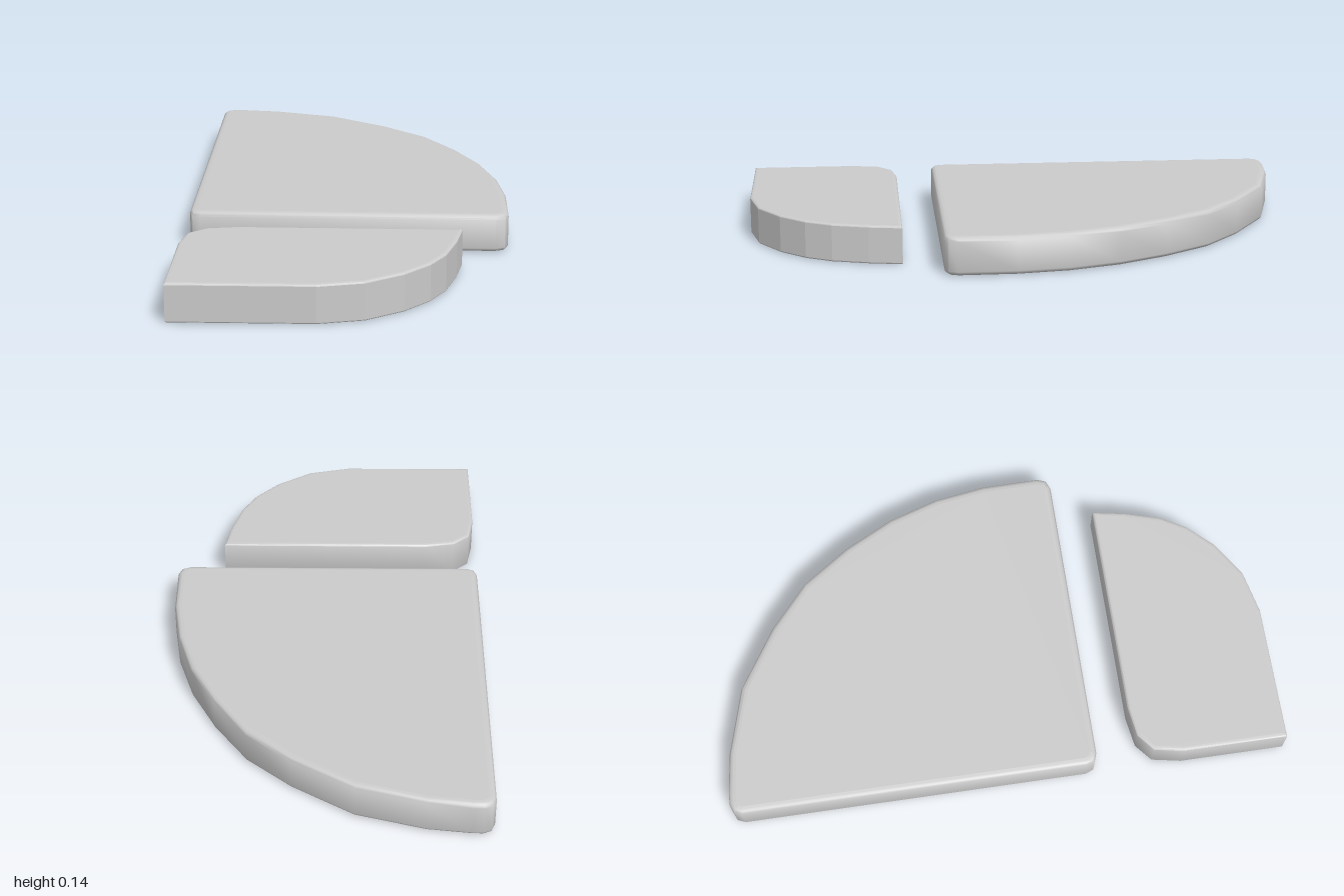
import * as THREE from 'three';
import { toCreasedNormals } from 'three/addons/utils/BufferGeometryUtils.js';

const HEIGHT = 0.138;

// Bevelled slab from an outline of [x, z] points. Caps stay flat, and so do
// walls for which isFaceted(normal) is true; the rest is smooth.
function slab(name, outline, inset, drop, isFaceted) {
  const shape = new THREE.Shape(outline.map(([x, z]) => new THREE.Vector2(x, -z)));
  const extruded = new THREE.ExtrudeGeometry(shape, {
    depth: HEIGHT - 2 * drop,
    bevelThickness: drop,
    bevelSize: inset,
    bevelOffset: -inset,
    bevelSegments: 4,
  });
  extruded.rotateX(-Math.PI / 2).translate(0, drop, 0);
  const geometry = toCreasedNormals(extruded, 0.85);
  const pos = geometry.attributes.position;
  const normals = geometry.attributes.normal;
  const tri = new THREE.Triangle();
  const n = new THREE.Vector3();
  for (let i = 0; i < pos.count; i += 3) {
    tri.setFromAttributeAndIndices(pos, i, i + 1, i + 2).getNormal(n);
    if (Math.abs(n.y) > 0.99 || isFaceted(n)) {
      for (let k = 0; k < 3; k++) normals.setXYZ(i + k, n.x, n.y, n.z);
    }
  }
  const mesh = new THREE.Mesh(geometry, new THREE.MeshStandardMaterial({ color: 0xcccccc }));
  mesh.name = name;
  return mesh;
}

export function createModel() {
  const group = new THREE.Group();
  group.name = 'twoPartPad';

  // Large quarter-round pad with soft corners
  const rear = [
    [-0.565, -0.96], [-0.553, -0.988], [-0.525, -1.0], [-0.49, -1.0],
    [-0.338, -0.982], [-0.10, -0.915], [0.113, -0.78], [0.27, -0.645],
    [0.388, -0.475], [0.478, -0.30], [0.535, -0.12], [0.562, 0.063],
    [0.564, 0.27], [0.552, 0.302], [0.52, 0.315],
    [-0.525, 0.315], [-0.554, 0.304], [-0.565, 0.275],
  ];
  group.add(slab('rearPad', rear, 0.025, 0.016, () => false));

  // Small pad: rounded rear corner, faceted curve along the front
  const front = [
    [-0.565, 0.625], [-0.545, 0.52], [-0.485, 0.47], [-0.378, 0.453],
    [0.398, 0.453], [0.377, 0.57], [0.34, 0.697], [0.288, 0.79],
    [0.203, 0.88], [0.077, 0.962], [-0.077, 0.997], [-0.565, 1.0],
  ];
  group.add(slab('frontPad', front, 0.014, 0.007, (n) => n.x + n.z > 0.1));

  return group;
}
